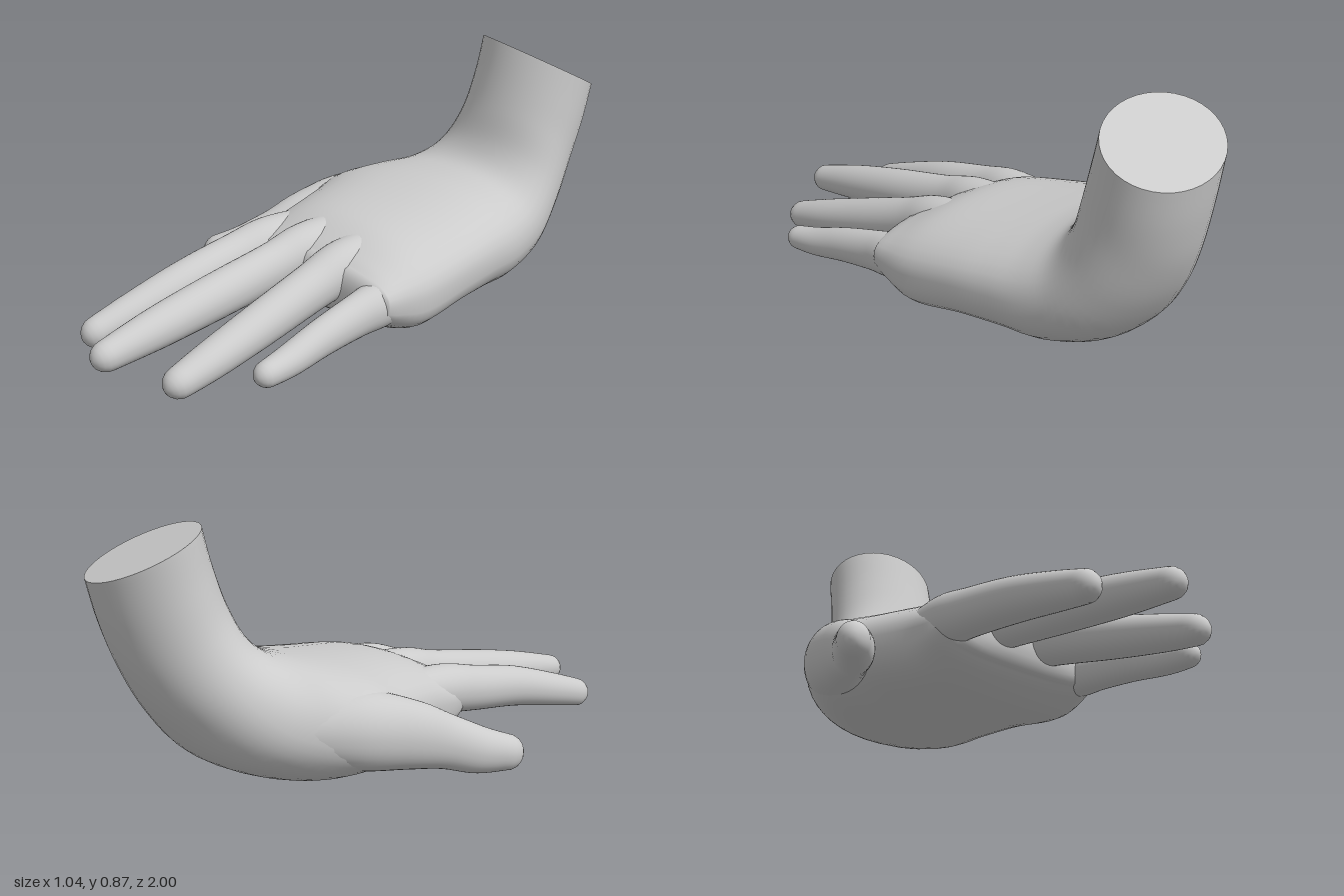
import * as THREE from 'three';

const V = (x, y, z) => new THREE.Vector3(x, y, z);
const RING = 40;

// Smoothly resample rows of numbers, column by column
function resample(rows, steps) {
  const n = rows.length - 1;
  const at = (i, c) => rows[Math.min(n, Math.max(0, i))][c];
  const out = [];
  for (let s = 0; s <= steps; s++) {
    const t = (s / steps) * n;
    const i = Math.min(n - 1, Math.floor(t));
    out.push(rows[0].map((_, c) => THREE.MathUtils.clamp(t, 0, n) === n ? at(n, c)
      : catmull(at(i - 1, c), at(i, c), at(i + 1, c), at(i + 2, c), t - i)));
  }
  return out;
}
function catmull(a, b, c, d, t) {
  const v0 = (c - a) / 2, v1 = (d - b) / 2;
  return (2 * b - 2 * c + v0 + v1) * t ** 3 + (-3 * b + 3 * c - 2 * v0 - v1) * t * t + v0 * t + b;
}

// Skin over superellipse sections {c, u, v, top, bot}: flat start, rounded end
function loft(name, sections, tipDepth) {
  const last = sections[sections.length - 1];
  const d = last.u.clone().cross(last.v).normalize();
  const all = [...sections];
  for (const a of [0.35, 0.7, 1.0, 1.3]) {
    all.push({
      ...last,
      c: last.c.clone().addScaledVector(d, tipDepth * Math.sin(a)),
      u: last.u.clone().multiplyScalar(Math.cos(a)),
      v: last.v.clone().multiplyScalar(Math.cos(a)),
    });
  }
  const pos = [], idx = [];
  const ring = ({ c, u, v, top, bot }) => {
    for (let i = 0; i < RING; i++) {
      const a = (i / RING) * Math.PI * 2, x = Math.cos(a), y = Math.sin(a);
      const p = 2 / (y >= 0 ? top : bot);
      const q = c.clone()
        .addScaledVector(u, Math.sign(x) * Math.abs(x) ** p)
        .addScaledVector(v, Math.sign(y) * Math.abs(y) ** p);
      pos.push(q.x, q.y, q.z);
    }
  };
  all.forEach(ring);
  for (let k = 0; k < all.length - 1; k++) {
    for (let i = 0; i < RING; i++) {
      const j = (i + 1) % RING, a = k * RING, b = a + RING;
      idx.push(a + i, a + j, b + i, a + j, b + j, b + i);
    }
  }
  // rounded tip pole
  const endRing = (all.length - 1) * RING, pole = pos.length / 3;
  const tip = last.c.clone().addScaledVector(d, tipDepth);
  pos.push(tip.x, tip.y, tip.z);
  for (let i = 0; i < RING; i++) idx.push(endRing + i, endRing + (i + 1) % RING, pole);
  // flat cut at the start, with its own vertices for a sharp rim
  const cut = pos.length / 3;
  ring(all[0]);
  pos.push(all[0].c.x, all[0].c.y, all[0].c.z);
  for (let i = 0; i < RING; i++) idx.push(cut + (i + 1) % RING, cut + i, cut + RING);

  const g = new THREE.BufferGeometry();
  g.setAttribute('position', new THREE.Float32BufferAttribute(pos, 3));
  g.setIndex(idx);
  g.computeVertexNormals();
  const mesh = new THREE.Mesh(g, new THREE.MeshStandardMaterial({ color: 0xcccccc, roughness: 0.8 }));
  mesh.name = name;
  return mesh;
}

// Digit along a path of rows [x, y, z, halfWidth, halfHeight]
function digit(name, rows) {
  const r = resample(rows, 28);
  const sections = r.map(([x, y, z, w, h], i) => {
    const a = r[Math.max(0, i - 1)], b = r[Math.min(r.length - 1, i + 1)];
    const d = V(b[0] - a[0], b[1] - a[1], b[2] - a[2]).normalize();
    const u = V(0, 1, 0).cross(d).normalize();
    const v = d.clone().cross(u);
    return { c: V(x, y, z), u: u.multiplyScalar(w), v: v.multiplyScalar(h), top: 2, bot: 2.2 };
  });
  return loft(name, sections, rows[rows.length - 1][3] * 1.1);
}

export function createModel() {
  const hand = new THREE.Group();
  hand.name = 'hand';

  // Wrist and palm: [topZ, topY, bottomZ, bottomY, xMin, xMax, topPower, bottomPower, roll]
  const body = resample([
    [-0.67, 0.86, -1.0, 0.71, 0.04, 0.47, 2, 2, -0.04],
    [-0.64, 0.75, -0.965, 0.56, 0.03, 0.465, 2, 2, -0.02],
    [-0.605, 0.63, -0.91, 0.4, 0.0, 0.46, 2, 2, 0],
    [-0.57, 0.52, -0.82, 0.24, -0.07, 0.465, 2, 2.1, 0],
    [-0.52, 0.455, -0.69, 0.09, -0.18, 0.48, 2.1, 2.2, 0],
    [-0.44, 0.425, -0.52, 0.02, -0.29, 0.495, 2.2, 2.3, 0],
    [-0.33, 0.405, -0.36, 0.02, -0.345, 0.505, 2.2, 2.5, 0],
    [-0.2, 0.385, -0.2, 0.035, -0.285, 0.515, 2.2, 2.8, -0.01],
    [0.0, 0.355, 0.0, 0.02, -0.23, 0.52, 2.2, 3, -0.015],
    [0.12, 0.305, 0.12, 0.06, -0.215, 0.505, 2.3, 3, -0.01],
    [0.17, 0.275, 0.17, 0.095, -0.2, 0.495, 2.4, 3, -0.01],
  ], 50).map(([tz, ty, bz, by, x0, x1, top, bot, roll]) => ({
    c: V((x0 + x1) / 2, (ty + by) / 2, (tz + bz) / 2),
    u: V((x1 - x0) / 2, roll, 0),
    v: V(0, (ty - by) / 2, (tz - bz) / 2),
    top, bot,
  }));
  hand.add(loft('palmAndWrist', body, 0.04));

  // Fingers
  hand.add(digit('indexFinger', [
    [-0.1, 0.24, -0.08, 0.08, 0.07],
    [-0.13, 0.225, 0.12, 0.085, 0.085],
    [-0.145, 0.2, 0.27, 0.075, 0.08],
    [-0.15, 0.165, 0.48, 0.071, 0.073],
    [-0.165, 0.115, 0.68, 0.062, 0.062],
    [-0.178, 0.075, 0.825, 0.05, 0.052],
  ]));
  hand.add(digit('middleFinger', [
    [0.07, 0.275, -0.08, 0.08, 0.07],
    [0.055, 0.25, 0.12, 0.085, 0.085],
    [0.05, 0.22, 0.27, 0.072, 0.08],
    [0.05, 0.18, 0.52, 0.072, 0.075],
    [0.048, 0.14, 0.75, 0.066, 0.066],
    [0.048, 0.105, 0.945, 0.05, 0.05],
  ]));
  hand.add(digit('ringFinger', [
    [0.24, 0.265, -0.08, 0.08, 0.07],
    [0.235, 0.235, 0.12, 0.085, 0.085],
    [0.235, 0.195, 0.27, 0.075, 0.078],
    [0.245, 0.135, 0.5, 0.07, 0.07],
    [0.255, 0.085, 0.7, 0.063, 0.06],
    [0.26, 0.053, 0.83, 0.052, 0.05],
  ]));
  hand.add(digit('littleFinger', [
    [0.41, 0.205, -0.08, 0.07, 0.07],
    [0.42, 0.165, 0.12, 0.075, 0.078],
    [0.42, 0.145, 0.25, 0.06, 0.07],
    [0.425, 0.12, 0.4, 0.054, 0.06],
    [0.432, 0.09, 0.54, 0.05, 0.05],
    [0.438, 0.078, 0.635, 0.042, 0.042],
  ]));

  // Thumb with its fleshy base
  hand.add(digit('thumb', [
    [-0.1, 0.22, -0.55, 0.1, 0.1],
    [-0.23, 0.21, -0.38, 0.115, 0.13],
    [-0.305, 0.175, -0.22, 0.09, 0.115],
    [-0.355, 0.135, -0.1, 0.073, 0.092],
    [-0.41, 0.098, -0.005, 0.068, 0.08],
    [-0.465, 0.083, 0.075, 0.056, 0.062],
  ]));
  return hand;
}
